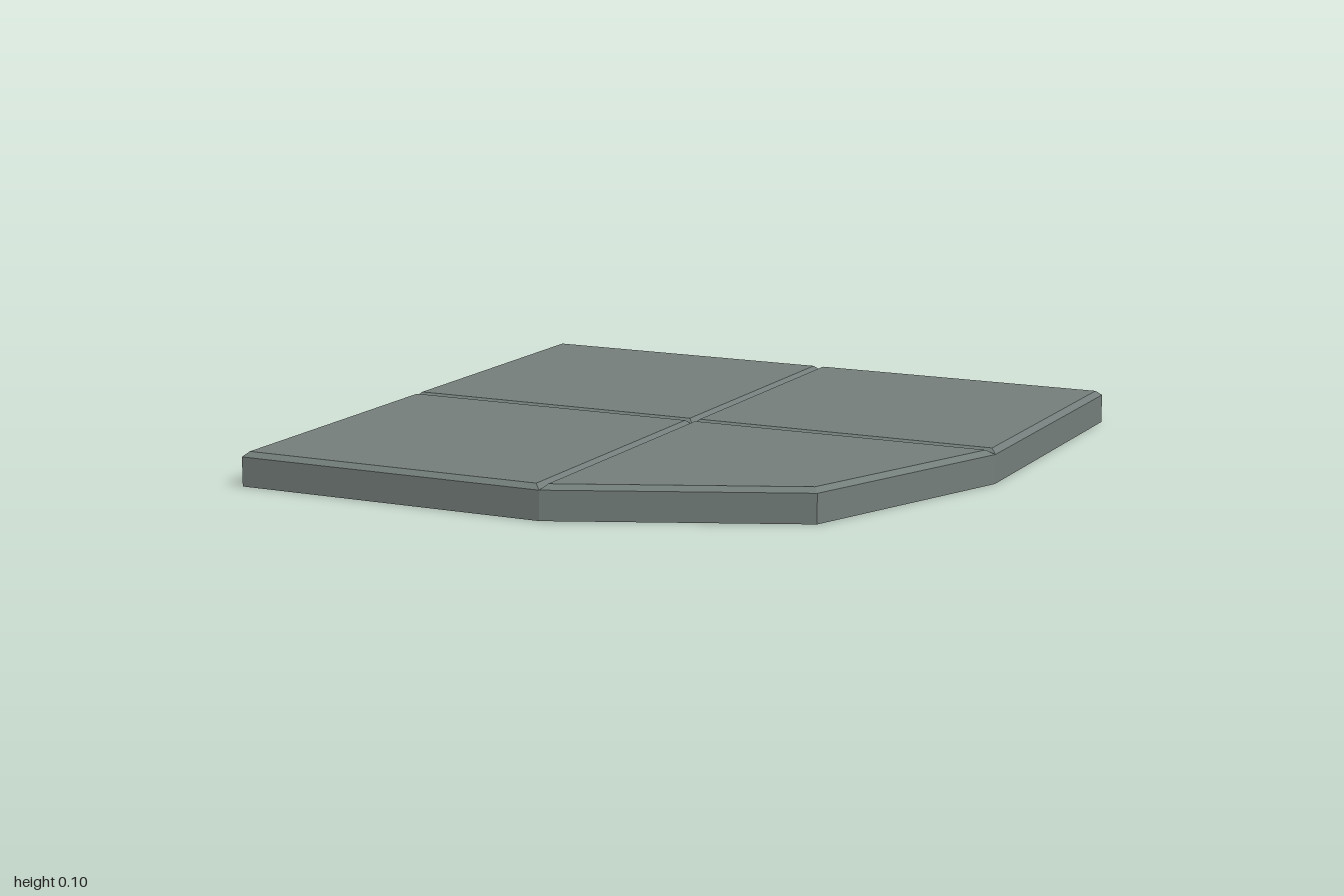
import * as THREE from 'three';

const TOP = 0.105, RIM = 0.09, INSET = 0.017;

// Outline points are [x, z], running counter-clockwise seen from above
const TILES = {
  backRightTile: [[-1, -1], [-1, 0], [0, 0], [0, -1]],
  backLeftTile: [[0, -1], [0, 0], [1, 0], [1, -1]],
  frontRightTile: [[-1, 0], [-1, 1], [0, 1], [0, 0]],
  frontLeftCutTile: [[0, 0], [0, 1], [0.725, 0.695], [1, 0]],
};

// Inward unit normal of an outline edge
function inward(a, b) {
  const d = new THREE.Vector2(b[0] - a[0], b[1] - a[1]).normalize();
  return new THREE.Vector2(d.y, -d.x);
}

// Shrink an outline evenly, with mitred corners
function insetOutline(points, amount) {
  const n = points.length;
  return points.map((p, i) => {
    const n1 = inward(points[(i + n - 1) % n], p);
    const n2 = inward(p, points[(i + 1) % n]);
    const k = amount / (1 + n1.dot(n2));
    return [p[0] + (n1.x + n2.x) * k, p[1] + (n1.y + n2.y) * k];
  });
}

function flatGeometry(quads) {
  const positions = [];
  for (const [a, b, c, d] of quads) positions.push(...a, ...b, ...c, ...a, ...c, ...d);
  const geometry = new THREE.BufferGeometry();
  geometry.setAttribute('position', new THREE.Float32BufferAttribute(positions, 3));
  geometry.computeVertexNormals();
  return geometry;
}

export function createModel() {
  const stone = new THREE.MeshStandardMaterial({ color: 0x737d7a, side: THREE.DoubleSide });
  stone.name = 'stone grey';
  const model = new THREE.Group();
  model.name = 'floorTiles';
  const at = (p, y) => [p[0], y, p[1]];

  for (const [name, outline] of Object.entries(TILES)) {
    const inner = insetOutline(outline, INSET);
    const slab = [inner.map((p) => at(p, TOP))];
    const walls = [];
    outline.forEach((a, i) => {
      const j = (i + 1) % outline.length;
      const b = outline[j];
      // Bevel round the slab; neighbouring bevels form the grooves
      slab.push([at(inner[i], TOP), at(a, RIM), at(b, RIM), at(inner[j], TOP)]);
      // Side walls only on the outer edges; the underside stays open
      const shared = (a[0] === 0 && b[0] === 0) || (a[1] === 0 && b[1] === 0);
      if (!shared) walls.push([at(a, RIM), at(a, 0), at(b, 0), at(b, RIM)]);
    });

    const tile = new THREE.Group();
    tile.name = name;
    const slabMesh = new THREE.Mesh(flatGeometry(slab), stone);
    slabMesh.name = 'bevelledTop';
    const wallMesh = new THREE.Mesh(flatGeometry(walls), stone);
    wallMesh.name = 'sideWalls';
    tile.add(slabMesh, wallMesh);
    model.add(tile);
  }
  return model;
}
